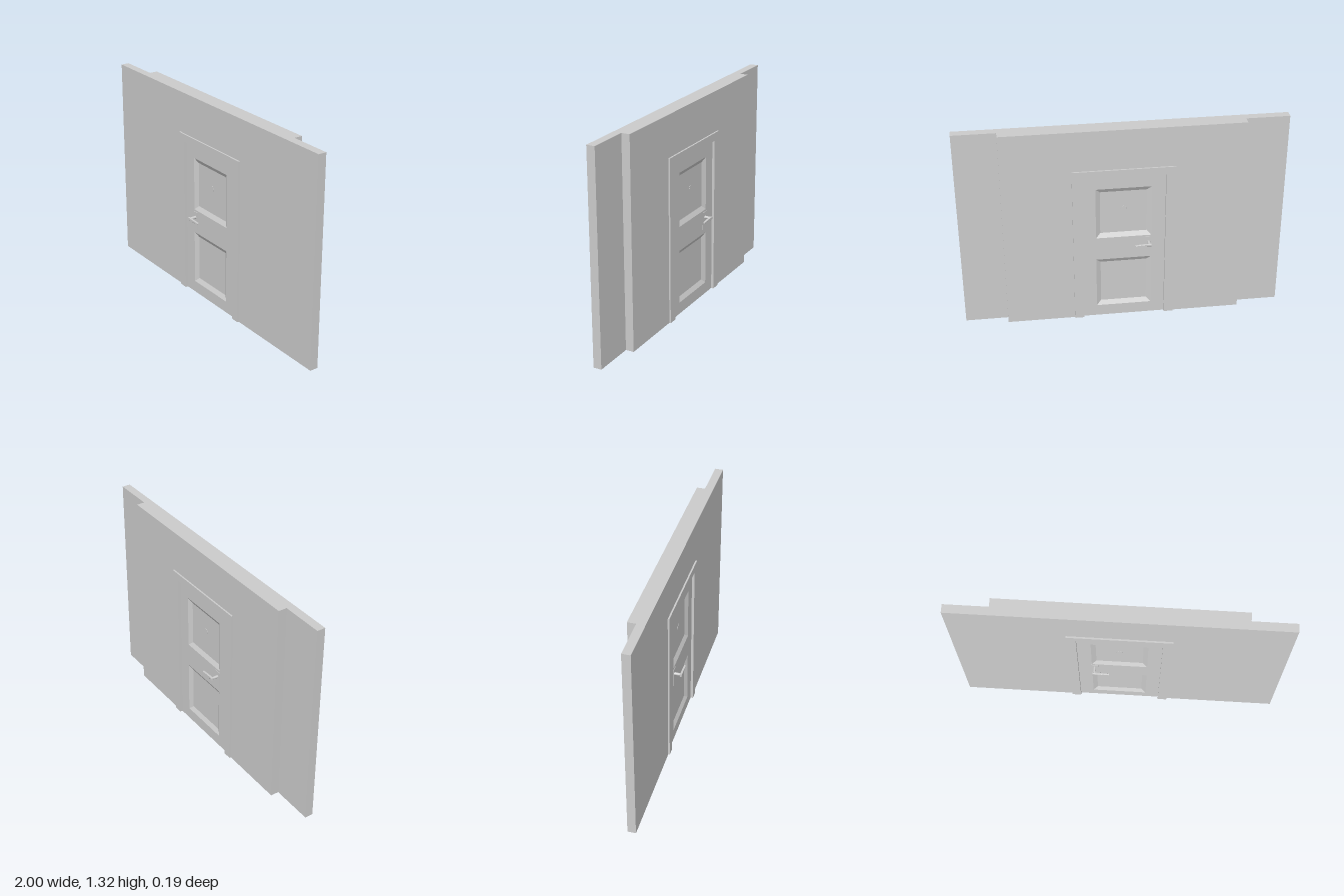
import * as THREE from 'three';

const WALL_H = 1.315, WALL_Z = 0.052;
const FRAME_X = 0.312, FRAME_H = 1.055, FRAME_Z = 0.062;
const DOOR_X = 0.255, DOOR_H = 1.005, DOOR_Z = 0.046;
const PANEL_X = 0.171, BEVEL = 0.028, RECESS = 0.016;
const PANELS = [[0.075, 0.422], [0.578, 0.922]];
const HANDLE = { x: -0.155, y: 0.53 };

const material = new THREE.MeshStandardMaterial({ color: 0xcccccc, flatShading: true });
const smooth = new THREE.MeshStandardMaterial({ color: 0xcccccc });

function add(parent, name, geometry, mat = material) {
  const mesh = new THREE.Mesh(geometry, mat);
  mesh.name = name;
  parent.add(mesh);
  return mesh;
}

const points = (list) => list.map(([x, y]) => new THREE.Vector2(x, y));
const rect = (x, y0, y1) => [[-x, y0], [x, y0], [x, y1], [-x, y1]];

// Upside-down U standing on the floor, extruded from z0 to z1
function archway(outX, outY, inX, inY, z0, z1) {
  const shape = new THREE.Shape(points([
    [-outX, 0], [-inX, 0], [-inX, inY], [inX, inY],
    [inX, 0], [outX, 0], [outX, outY], [-outX, outY],
  ]));
  return new THREE.ExtrudeGeometry(shape, { depth: z1 - z0, bevelEnabled: false }).translate(0, 0, z0);
}

// Sunken panel: four sloping sides around a flat floor
function sunkenPanel(y0, y1) {
  const rim = rect(PANEL_X, y0, y1).map(([x, y]) => [x, y, DOOR_Z]);
  const floor = rect(PANEL_X - BEVEL, y0 + BEVEL, y1 - BEVEL).map(([x, y]) => [x, y, DOOR_Z - RECESS]);
  const position = [];
  const quad = (a, b, c, d) => position.push(...a, ...b, ...c, ...a, ...c, ...d);
  for (let i = 0; i < 4; i++) {
    const j = (i + 1) % 4;
    quad(rim[i], rim[j], floor[j], floor[i]);
  }
  quad(...floor);
  const geometry = new THREE.BufferGeometry();
  geometry.setAttribute('position', new THREE.Float32BufferAttribute(position, 3));
  geometry.computeVertexNormals();
  return geometry;
}

// Lever handle around the origin, pointing along +x and sticking out along +z
function leverHandle() {
  const group = new THREE.Group();
  add(group, 'handleSpindle', new THREE.CylinderGeometry(0.008, 0.01, 0.046, 16)
    .rotateX(Math.PI / 2).translate(0, 0, 0.067), smooth);
  const lever = new THREE.Shape();
  lever.moveTo(-0.011, -0.009);
  lever.quadraticCurveTo(0.03, -0.011, 0.091, -0.004);
  lever.lineTo(0.091, 0.003);
  lever.quadraticCurveTo(0.03, 0.006, -0.011, 0.009);
  lever.closePath();
  add(group, 'handleLever', new THREE.ExtrudeGeometry(lever, {
    depth: 0.007, bevelThickness: 0.003, bevelSize: 0.002, bevelOffset: -0.002, bevelSegments: 2, curveSegments: 8,
  }).translate(0, 0, 0.087));
  return group;
}

export function createModel() {
  const model = new THREE.Group();
  model.name = 'wallWithDoor';

  // Wall: full-width front layer, narrower back layer
  add(model, 'frontWall', archway(1, WALL_H, FRAME_X, FRAME_H, 0, WALL_Z));
  add(model, 'backWall', archway(0.735, WALL_H, FRAME_X, FRAME_H, -WALL_Z, 0));

  // Frame passing through the wall, slightly proud on both sides
  add(model, 'doorFrame', archway(FRAME_X, FRAME_H, DOOR_X, DOOR_H, -FRAME_Z, FRAME_Z));

  // Door leaf with two panel openings
  const door = new THREE.Group();
  door.name = 'door';
  model.add(door);
  const leaf = new THREE.Shape(points(rect(DOOR_X, 0, DOOR_H)));
  for (const [y0, y1] of PANELS) leaf.holes.push(new THREE.Path(points(rect(PANEL_X, y0, y1))));
  add(door, 'doorLeaf', new THREE.ExtrudeGeometry(leaf, { depth: 2 * DOOR_Z, bevelEnabled: false })
    .translate(0, 0, -DOOR_Z));

  // Both faces of the door
  for (const side of [1, -1]) {
    const face = new THREE.Group();
    face.name = side > 0 ? 'frontFace' : 'backFace';
    if (side < 0) face.rotation.y = Math.PI;
    door.add(face);
    for (const [y0, y1] of PANELS) add(face, 'panel', sunkenPanel(y0, y1));
    add(face, 'peephole', new THREE.CylinderGeometry(0.02, 0.02, 0.002, 8)
      .rotateX(Math.PI / 2).translate(0, 0.77, DOOR_Z - RECESS + 0.001));

    // Lock plate and lever sit at the same x on both sides
    add(door, 'lockPlate', new THREE.BoxGeometry(0.046, 0.115, 0.003))
      .position.set(HANDLE.x, 0.508, side * (DOOR_Z + 0.0015));
    const handle = leverHandle();
    handle.name = side > 0 ? 'frontHandle' : 'backHandle';
    handle.position.set(HANDLE.x, HANDLE.y, 0);
    if (side < 0) handle.rotation.x = Math.PI;
    door.add(handle);
  }
  return model;
}
